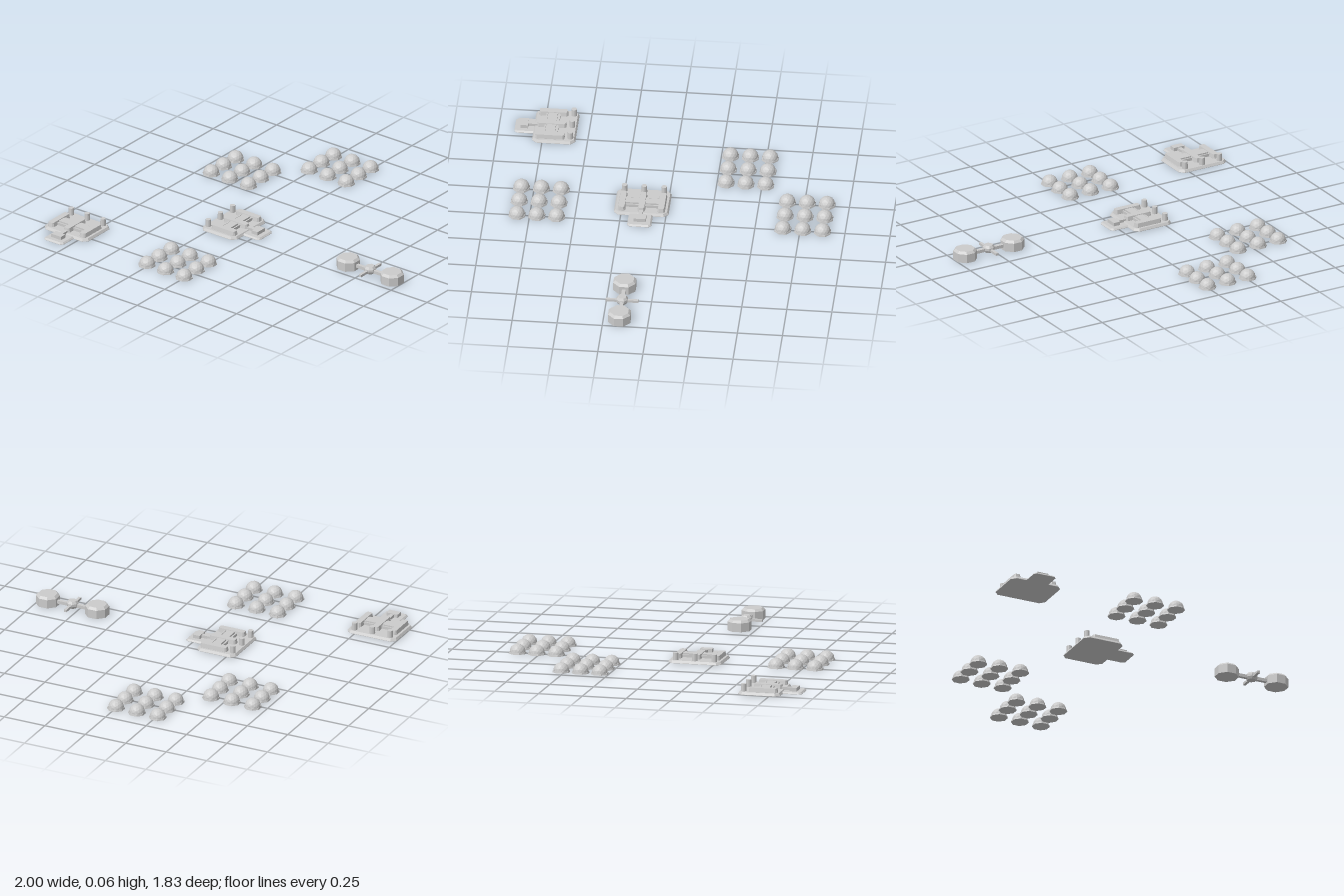
import * as THREE from 'three';

const mat = new THREE.MeshStandardMaterial({ color: 0xcccccc, flatShading: true });

function add(parent, name, geo, x = 0, y = 0, z = 0) {
  const mesh = new THREE.Mesh(geo, mat);
  mesh.name = name;
  mesh.position.set(x, y, z);
  parent.add(mesh);
  return mesh;
}

// box standing on height y
const box = (parent, name, w, h, d, x, y, z) =>
  add(parent, name, new THREE.BoxGeometry(w, h, d), x, y + h / 2, z);

// octagonal frustum with flats facing the axes, given by half widths across flats
function octagon(parent, name, top, bottom, h, x, y, z) {
  const k = 1 / Math.cos(Math.PI / 8);
  const geo = new THREE.CylinderGeometry(top * k, bottom * k, h, 8).rotateY(Math.PI / 8);
  return add(parent, name, geo, x, y + h / 2, z);
}

// flat outline in x/z, extruded upwards with sloping edges
function slab(parent, name, points, height, bevel, y = 0) {
  const shape = new THREE.Shape(points.map(([x, z]) => new THREE.Vector2(x, -z)));
  const geo = new THREE.ExtrudeGeometry(shape, {
    depth: 0.002, bevelEnabled: true, bevelThickness: height - 0.002,
    bevelSize: bevel, bevelOffset: -bevel, bevelSegments: 1
  });
  geo.rotateX(-Math.PI / 2);
  // keep the underside flat at full width
  const p = geo.attributes.position;
  for (let i = 0; i < p.count; i++) if (p.getY(i) < 0) p.setY(i, 0);
  return add(parent, name, geo, 0, y, 0);
}

// rectangle with cut corners
const cutRect = (x0, x1, z0, z1, c) => [
  [x0 + c, z0], [x0, z0 + c], [x0, z1 - c], [x0 + c, z1],
  [x1 - c, z1], [x1, z1 - c], [x1, z0 + c], [x1 - c, z0]
];

// 3 x 3 field of faceted domes on octagonal footings
function domeField(cx, cz) {
  const field = new THREE.Group();
  field.name = 'domeField';
  const dome = new THREE.IcosahedronGeometry(0.044, 2);
  const p = dome.attributes.position;
  for (let i = 0; i < p.count; i++) if (p.getY(i) < 0) p.setY(i, 0);
  for (let i = -1; i <= 1; i++) {
    for (let j = -1; j <= 1; j++) {
      octagon(field, 'domeFooting', 0.044, 0.046, 0.01, i * 0.129, 0, j * 0.11);
      add(field, 'dome', dome, i * 0.129, 0.01, j * 0.11);
    }
  }
  field.position.set(cx, 0, cz);
  return field;
}

// low station: base plate with entrance tab, parallel halls, cross halls and towers
function station() {
  const g = new THREE.Group();
  g.name = 'station';
  slab(g, 'basePlate', cutRect(-0.152, 0.152, 0, 0.24, 0.025), 0.015, 0.008);
  slab(g, 'entrancePlate', cutRect(-0.067, 0.067, 0.2, 0.345, 0.014), 0.01, 0.008);
  for (const x of [-0.11, 0, 0.11]) {
    slab(g, 'hall', cutRect(x - 0.021, x + 0.021, 0.06, 0.222, 0.009), 0.025, 0.004, 0.014);
    add(g, 'tower', new THREE.CylinderGeometry(0.015, 0.016, 0.042, 12), x, 0.035, 0.028);
  }
  for (const s of [-1, 1]) {
    box(g, 'crossHallBase', 0.075, 0.012, 0.078, s * 0.055, 0.013, 0.141);
    box(g, 'crossHall', 0.075, 0.022, 0.048, s * 0.055, 0.013, 0.141);
    for (const z of [0.106, 0.176]) box(g, 'crossRail', 0.075, 0.018, 0.008, s * 0.055, 0.013, z);
  }
  box(g, 'entranceCorridor', 0.022, 0.018, 0.08, 0, 0.008, 0.25);
  box(g, 'entranceHouse', 0.068, 0.022, 0.04, 0, 0.008, 0.291);
  return g;
}

// two octagonal tanks joined by a tube with a small cross-armed hub
function tankPair() {
  const g = new THREE.Group();
  g.name = 'tankPair';
  for (const s of [-1, 1]) {
    octagon(g, 'tankWall', 0.062, 0.062, 0.05, s * 0.152, 0, 0);
    octagon(g, 'tankRoof', 0.05, 0.062, 0.013, s * 0.152, 0.05, 0);
    box(g, 'linkTube', 0.08, 0.018, 0.02, s * 0.06, 0.016, 0);
    box(g, 'sideArm', 0.016, 0.014, 0.075, 0, 0.018, s * 0.054);
  }
  octagon(g, 'hubBase', 0.031, 0.024, 0.014, 0, 0.01, 0);
  octagon(g, 'hub', 0.031, 0.031, 0.014, 0, 0.024, 0);
  octagon(g, 'hubCap', 0.022, 0.031, 0.014, 0, 0.038, 0);
  return g;
}

export function createModel() {
  const model = new THREE.Group();
  model.name = 'outpost';

  for (const [x, z] of [[-0.131, -0.765], [-0.54, -0.41], [-0.131, 0.71]]) model.add(domeField(x, z));

  const frontStation = station();
  frontStation.position.set(-0.848, 0, 0.567);
  const middleStation = station();
  middleStation.position.set(-0.298, 0, 0.139);
  middleStation.rotation.y = Math.PI / 2;
  const tanks = tankPair();
  tanks.position.set(0.786, 0, 0.16);
  model.add(frontStation, middleStation, tanks);

  return model;
}
